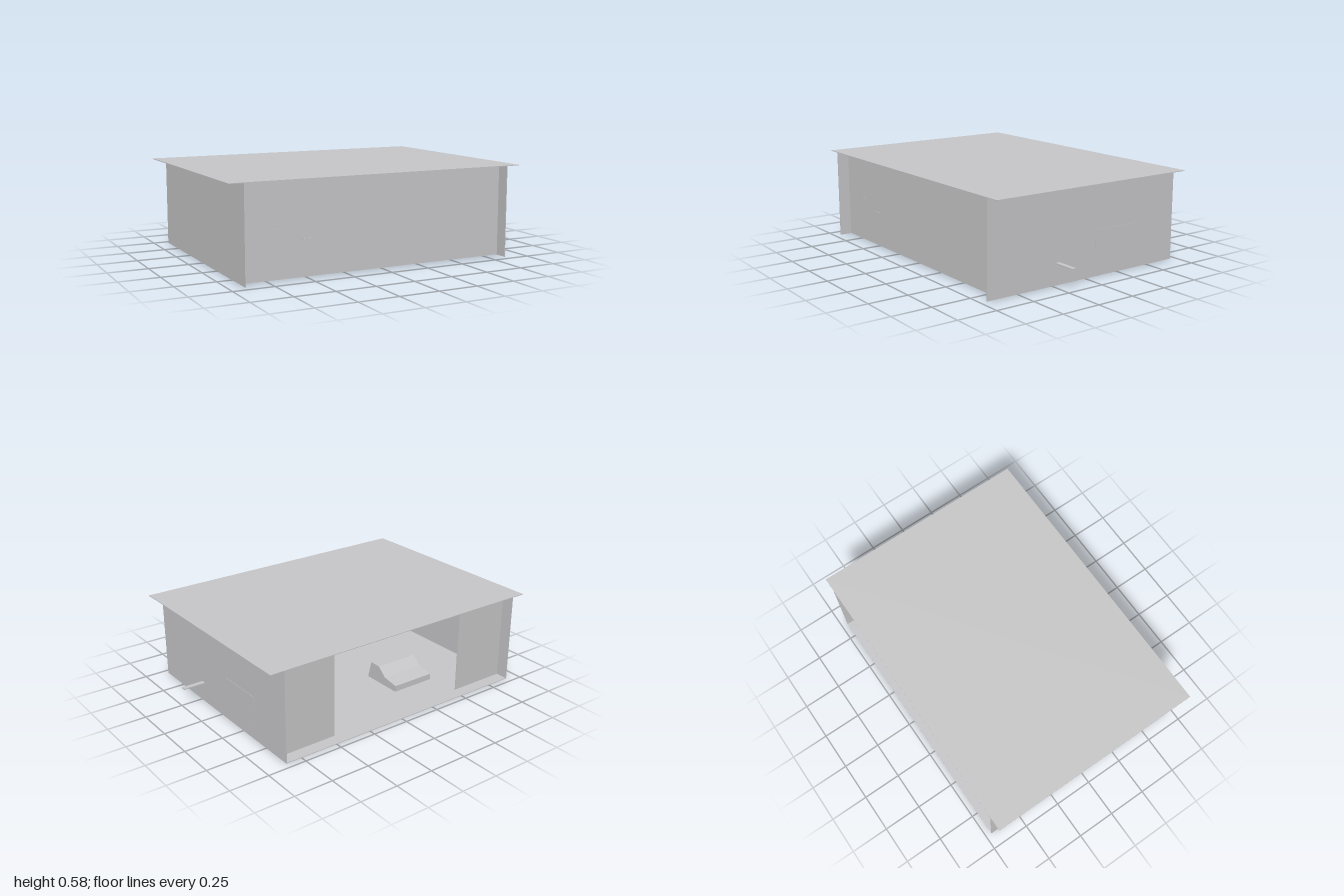
import * as THREE from 'three';

export function createModel() {
  const model = new THREE.Group();
  const grey = new THREE.MeshStandardMaterial({ color: 0xc6c6c8, flatShading: true });
  grey.name = 'light grey';

  const add = (name, geometry, parent = model) => {
    const mesh = new THREE.Mesh(geometry, grey);
    mesh.name = name;
    parent.add(mesh);
    return mesh;
  };
  // box given by its limits on each axis
  const box = (name, x0, x1, y0, y1, z0, z1, parent) => {
    const mesh = add(name, new THREE.BoxGeometry(x1 - x0, y1 - y0, z1 - z0), parent);
    mesh.position.set((x0 + x1) / 2, (y0 + y1) / 2, (z0 + z1) / 2);
    return mesh;
  };
  const group = (name) => {
    const g = new THREE.Group();
    g.name = name;
    model.add(g);
    return g;
  };

  // building shell, open at the back between two panels
  const T = 0.004, H = 0.585;
  box('roof', -1, 0.945, H - T, H, -0.71, 0.71);
  box('floor', -0.91, 0.855, 0.001, 0.005, -0.71, 0.53);
  box('leftWall', 0.855 - T, 0.855, 0.002, H - T, -0.71, 0.71);
  box('rightWall', -0.91, -0.91 + T, 0.002, H - T, -0.71, 0.71);
  box('frontWall', -0.91, 0.855, 0.004, H - T, 0.63 - T, 0.63);
  box('backPanelLeft', 0.46, 0.855, 0.004, H - T, -0.63, -0.63 + T);
  box('backPanelRight', -0.91, -0.52, 0.004, H - T, -0.63, -0.63 + T);

  // ceiling lights
  for (const x of [-0.56, -0.02, 0.52]) {
    box('ceilingLight', x - 0.02, x + 0.02, 0.565, H - T, -0.44, 0.44);
  }

  // board and bar that come through the left wall
  box('wallBoard', 0.845, 0.857, 0.105, 0.285, -0.385, -0.075);
  box('wallBar', 0.7, 1, 0.131, 0.137, 0.2, 0.23);

  // small fittings on the front wall
  box('wallFittingSmall', -0.702, -0.678, 0.292, 0.298, 0.6, 0.634);
  box('wallFittingLarge', -0.525, -0.475, 0.222, 0.23, 0.6, 0.634);

  // low machine beside the left wall
  const machine = group('machine');
  box('machineBase', 0.67, 0.84, 0.005, 0.05, 0.18, 0.36, machine);
  box('machineTop', 0.69, 0.82, 0.05, 0.075, 0.2, 0.34, machine);
  const drum = add('machineDrum', new THREE.CylinderGeometry(0.03, 0.03, 0.04, 16), machine);
  drum.rotation.x = Math.PI / 2;
  drum.position.set(0.64, 0.035, 0.22);

  // stool in the middle of the room
  const stool = group('stool');
  box('stoolBase', 0.2, 0.26, 0.005, 0.055, 0.1, 0.15, stool);
  box('stoolPost', 0.22, 0.24, 0.055, 0.08, 0.115, 0.135, stool);
  box('stoolSeat', 0.19, 0.27, 0.08, 0.095, 0.09, 0.16, stool);
  box('floorBoard', 0.53, 0.61, 0.005, 0.02, 0.28, 0.32);

  // stepped unit near the opening, profile drawn along its depth
  const side = new THREE.Shape([
    [-0.42, 0.005], [-0.42, 0.045], [-0.31, 0.065], [-0.25, 0.12], [-0.17, 0.12], [-0.14, 0.005],
  ].map(([z, y]) => new THREE.Vector2(-z, y)));
  const unit = group('steppedUnit');
  const body = add('steppedUnitBody', new THREE.ExtrudeGeometry(side, { depth: 0.3, bevelEnabled: false }), unit);
  body.rotation.y = Math.PI / 2;
  body.position.set(-0.49, 0, 0);
  box('steppedUnitFoot', -0.54, -0.48, 0, 0.01, -0.25, -0.19, unit);

  // low items along the front wall
  for (const x of [0.29, -0.36]) {
    box('frontCabinet', x - 0.06, x + 0.06, 0.006, 0.09, 0.48, 0.585);
  }
  for (const x of [0.1, -0.14]) box('frontPost', x - 0.006, x + 0.006, 0.006, 0.14, 0.55, 0.562);
  for (const x of [-0.86, -0.81]) box('cornerBlock', x - 0.018, x + 0.018, 0.006, 0.06, 0.52, 0.575);
  const ring = add('floorRing', new THREE.TorusGeometry(0.036, 0.008, 8, 20));
  ring.rotation.x = Math.PI / 2;
  ring.position.set(0.8, 0.014, 0.57);

  return model;
}
